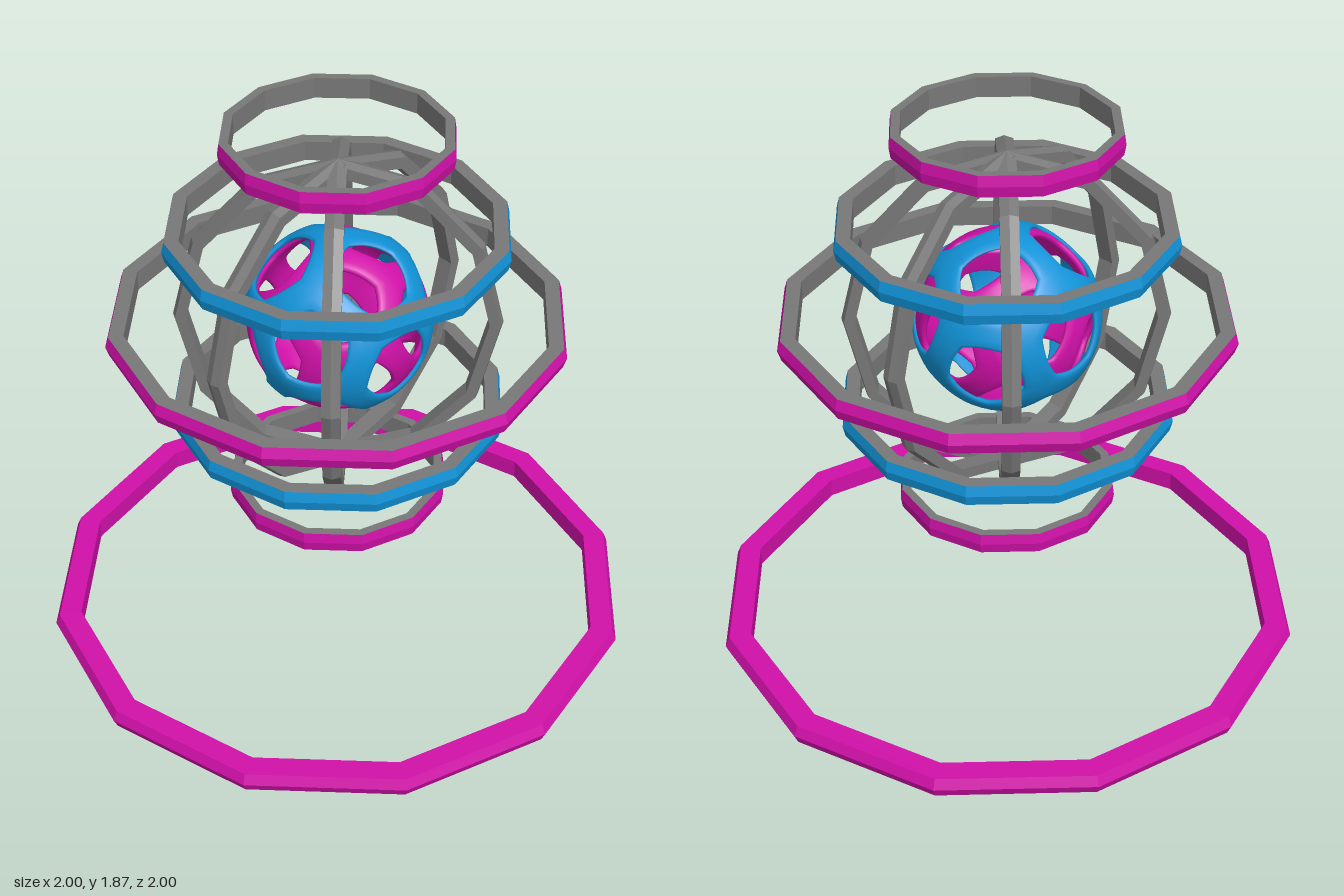
import * as THREE from 'three';
import { mergeVertices } from 'three/addons/utils/BufferGeometryUtils.js';

const CENTRE = 1.18;
const V2 = (x, y) => new THREE.Vector2(x, y);

// Rounded pentagonal holes cut in a thin ball, one hole per icosahedron direction
function latticeShell(R, thickness) {
  const g = (1 + Math.sqrt(5)) / 2, dirs = [];
  for (const s of [-1, 1]) for (const t of [-g, g]) {
    dirs.push(new THREE.Vector3(s, 0, t), new THREE.Vector3(0, t, s), new THREE.Vector3(t, s, 0));
  }
  dirs.forEach((d) => d.normalize());
  const N = 40, rows = 7, pos = [], index = [];
  for (const c of dirs) {
    const near = dirs.filter((d) => d.dot(c) > 0.3 && d.dot(c) < 0.9);
    const u = near[0].clone().addScaledVector(c, -near[0].dot(c)).normalize();
    const v = c.clone().cross(u);
    const base = pos.length / 3;
    for (let i = 0; i < N; i++) {
      const a = (i / N) * Math.PI * 2;
      const t = u.clone().multiplyScalar(Math.cos(a)).addScaledVector(v, Math.sin(a));
      // angle from the hole centre to the middle of the surrounding strut
      let edge = 9;
      for (const n of near) {
        const k = t.dot(n);
        if (k > 1e-6) edge = Math.min(edge, Math.atan((1 - c.dot(n)) / k));
      }
      const hole = 0.36 * edge + 0.2, lip = hole + 0.03, e = 0.007, r = R - thickness;
      const section = [[edge, R], [(edge + lip) / 2, R], [lip, R], [hole, R - e], [hole, r + e], [lip, r], [edge, r]];
      for (const [ang, rad] of section) {
        const p = c.clone().multiplyScalar(Math.cos(ang) * rad).addScaledVector(t, Math.sin(ang) * rad);
        pos.push(p.x, p.y, p.z);
      }
      const next = (i + 1) % N;
      for (let j = 0; j < rows - 1; j++) {
        const p = base + i * rows + j, q = base + next * rows + j;
        index.push(p, q, p + 1, q, q + 1, p + 1);
      }
    }
  }
  const geo = new THREE.BufferGeometry();
  geo.setAttribute('position', new THREE.Float32BufferAttribute(pos, 3));
  geo.setIndex(index);
  const merged = mergeVertices(geo, 1e-4);
  merged.computeVertexNormals();
  return merged;
}

// Twelve-sided ring: a peaked outer band, and the top, inside and bottom faces
function ringBand(r, lip, h) {
  return new THREE.LatheGeometry([V2(r - lip, -h), V2(r, 0), V2(r - lip, h)], 12);
}
function ringCore(r, inner, lip, h) {
  return new THREE.LatheGeometry([V2(r - lip, h), V2(inner, h), V2(inner, -h), V2(r - lip, -h)], 12);
}

export function createModel() {
  const model = new THREE.Group();
  model.name = 'ringedOrb';
  const material = (name, color, flatShading = true) => {
    const m = new THREE.MeshStandardMaterial({ color, flatShading });
    m.name = name;
    return m;
  };
  const magenta = material('magenta', 0xd010a8);
  const blue = material('blue', 0x1193d8);
  const grey = material('grey', 0x787878);
  // the ball is smooth while the rings are faceted
  magenta.flatShading = blue.flatShading = false;

  const add = (parent, name, geo, mat) => {
    const mesh = new THREE.Mesh(geo, mat);
    mesh.name = name;
    parent.add(mesh);
    return mesh;
  };
  const facet = (geo) => {
    const flat = geo.toNonIndexed();
    flat.computeVertexNormals();
    return flat;
  };

  // Horizontal rings: name, outer radius, inner radius, height, outside, inside
  const rings = [
    ['baseRing', 1.0, 0.91, 0.035, magenta, magenta],
    ['lowerSmallRing', 0.37, 0.335, 0.528, magenta, grey],
    ['lowerRing', 0.555, 0.5, 0.853, blue, grey],
    ['middleRing', 0.75, 0.69, CENTRE, magenta, grey],
    ['upperRing', 0.555, 0.5, 1.507, blue, grey],
    ['upperSmallRing', 0.37, 0.335, 1.832, magenta, grey],
  ];
  for (const [name, r, inner, y, outside, inside] of rings) {
    const ring = new THREE.Group();
    ring.name = name;
    ring.position.y = y;
    const lip = 0.015 * r, h = 0.035;
    add(ring, name + 'Band', facet(ringBand(r, lip, h)), outside);
    add(ring, name + 'Core', facet(ringCore(r, inner, lip, h)), inside);
    model.add(ring);
  }

  // Upright oval hoops of the cage
  const cage = new THREE.Group();
  cage.name = 'cage';
  cage.position.y = CENTRE;
  for (const turn of [-1, 0, 1]) {
    for (const part of [ringBand(0.59, 0.01, 0.029), ringCore(0.59, 0.54, 0.01, 0.029)]) {
      part.rotateZ(Math.PI / 2).scale(1, 1, 0.9).rotateY((turn * Math.PI) / 4);
      add(cage, 'cageHoop', facet(part), grey);
    }
  }
  model.add(cage);

  // Two nested lattice balls
  const outer = add(model, 'outerLatticeBall', latticeShell(0.308, 0.02), blue);
  outer.position.y = CENTRE;
  outer.rotation.set(0, 0, 0.42);
  const inner = add(model, 'innerLatticeBall', latticeShell(0.294, 0.022), magenta);
  inner.position.y = CENTRE;
  inner.rotation.set(0.25, 0.5, -0.45);

  return model;
}
